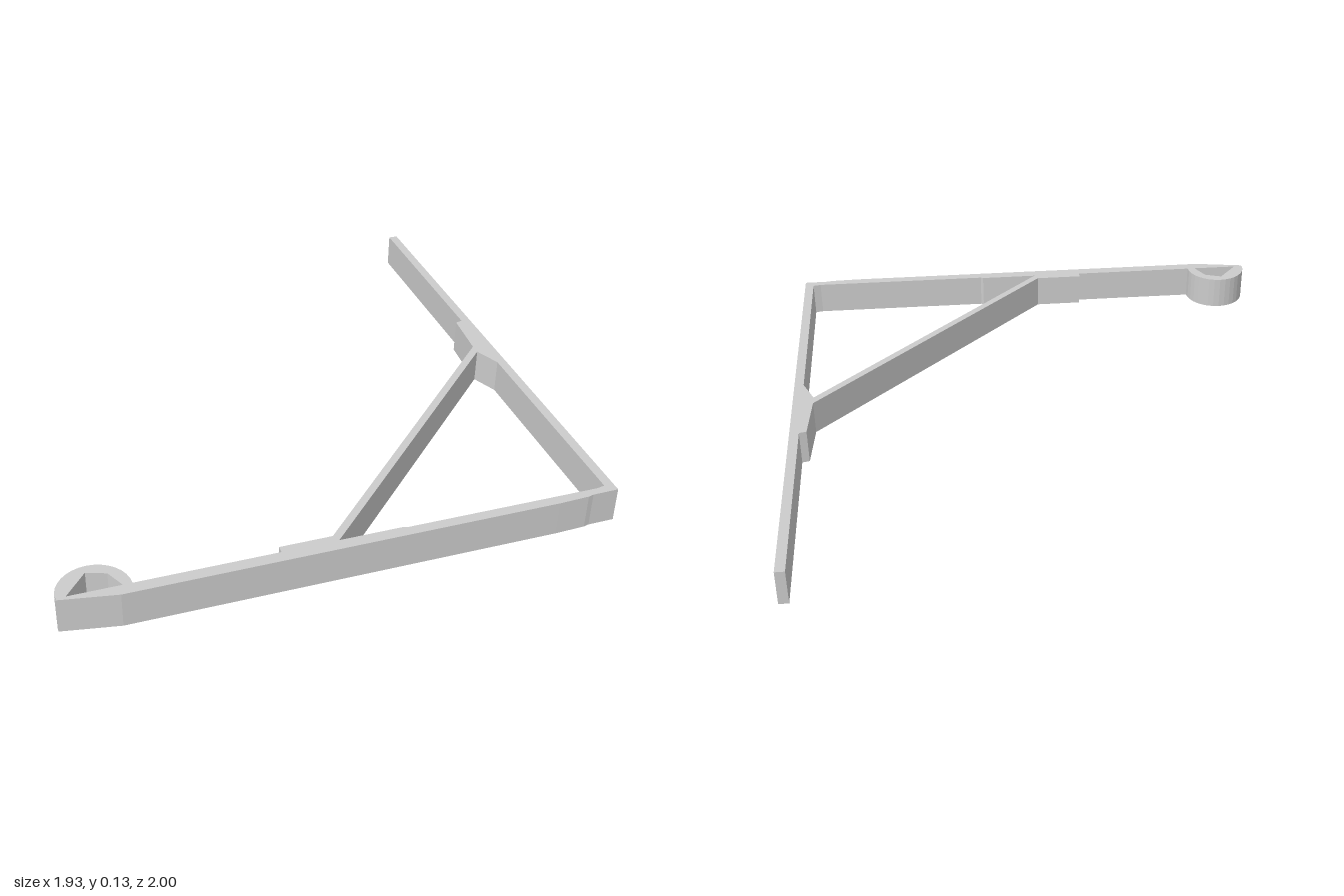
import * as THREE from 'three';

const HEIGHT = 0.13;
const material = new THREE.MeshStandardMaterial({ color: 0xcccccc, flatShading: true });

// Upright slab from a plan outline of [x, z] points
function slab(name, outline) {
  const shape = new THREE.Shape(outline.map(([x, z]) => new THREE.Vector2(x, -z)));
  const geometry = new THREE.ExtrudeGeometry(shape, { depth: HEIGHT, bevelEnabled: false });
  geometry.rotateX(-Math.PI / 2);
  const mesh = new THREE.Mesh(geometry, material);
  mesh.name = name;
  return mesh;
}

export function createModel() {
  const group = new THREE.Group();
  group.name = 'bracket';

  // Two arms meeting in a mitred corner
  group.add(slab('frontArm', [
    [-0.97, 0.965], [-0.965, 0.957], [0.19, 0.957], [0.2, 0.962], [0.9, 0.963], [0.93, 0.957],
    [0.965, 0.99], [0.87, 0.991], [0.85, 0.996], [0.74, 1], [-0.77, 1],
  ]));
  group.add(slab('sideArm', [[0.93, -1], [0.965, -1], [0.965, 0.99], [0.93, 0.957]]));

  // Diagonal brace and its two mounting pads
  group.add(slab('brace', [[-0.05, 0.931], [0.888, -0.01], [0.888, 0.03], [-0.037, 0.957]]));
  group.add(slab('frontPad', [[-0.235, 0.957], [-0.235, 0.931], [-0.05, 0.931], [-0.037, 0.957]]));
  group.add(slab('sidePad', [
    [0.93, -0.21], [0.903, -0.204], [0.888, -0.01], [0.888, 0.03], [0.93, 0.125],
  ]));

  // Half-round end loop with a faceted opening
  const loop = [];
  const segments = 16;
  for (let i = 0; i <= segments; i++) {
    const a = Math.PI * (1 - i / segments);
    loop.push([-0.847 + 0.123 * Math.cos(a), 0.957 - 0.123 * Math.sin(a)]);
  }
  loop.push([-0.755, 0.957], [-0.79, 0.89], [-0.857, 0.866], [-0.935, 0.957]);
  group.add(slab('endLoop', loop));

  return group;
}
